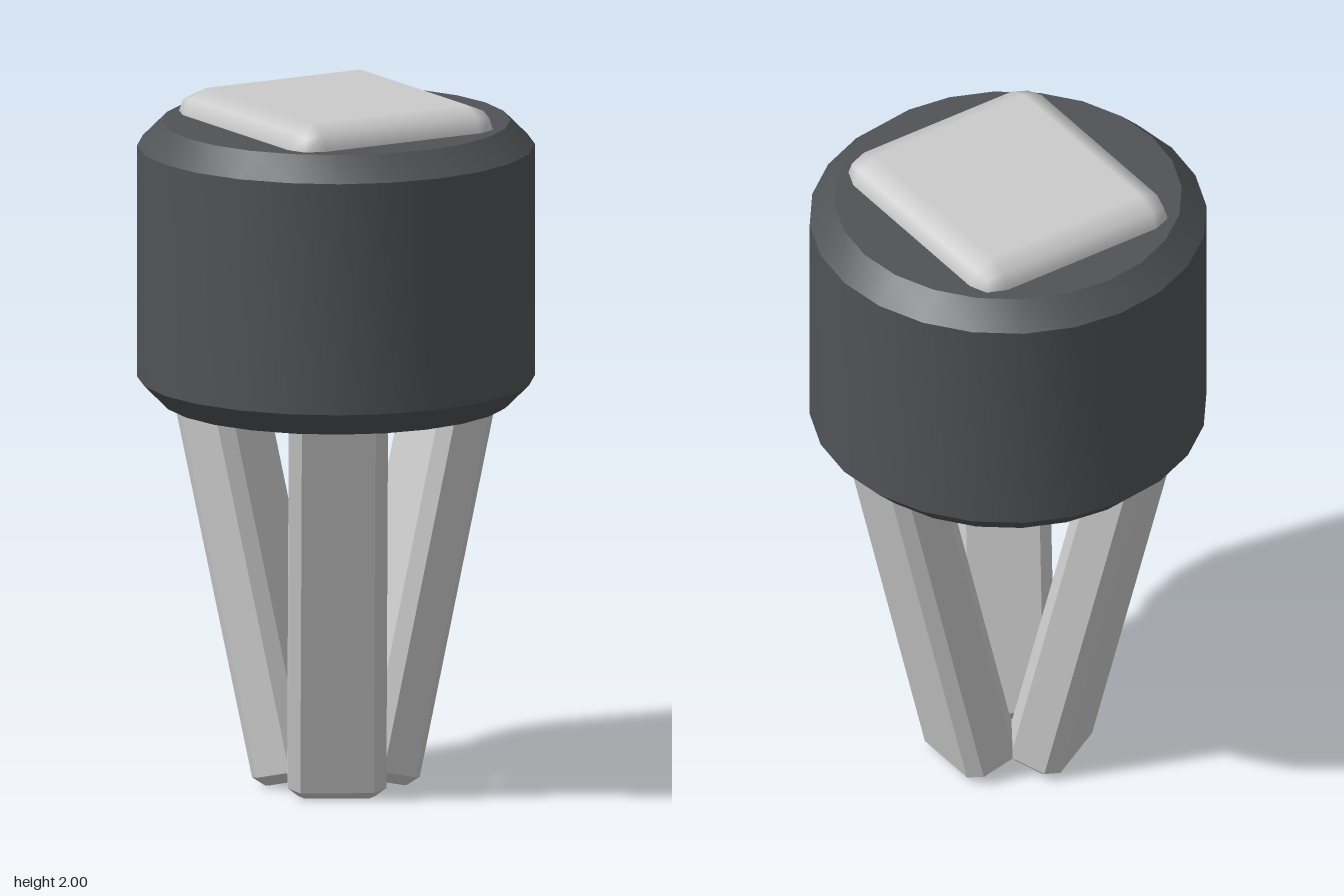
import * as THREE from 'three';
import { toCreasedNormals } from 'three/addons/utils/BufferGeometryUtils.js';
import { RoundedBoxGeometry } from 'three/addons/geometries/RoundedBoxGeometry.js';

const V = (x, y) => new THREE.Vector2(x, y);

// Octagonal bar outline: a rectangle with cut corners
function cutRectangle(w, d, c) {
  const x = w / 2, y = d / 2;
  return new THREE.Shape([
    V(-x + c, -y), V(x - c, -y), V(x, -y + c), V(x, y - c),
    V(x - c, y), V(-x + c, y), V(-x, y - c), V(-x, -y + c),
  ]);
}

export function createModel() {
  const group = new THREE.Group();
  const grey = new THREE.MeshStandardMaterial({ color: 0xcccccc });
  const dark = new THREE.MeshStandardMaterial({ color: 0x505356 });

  // Chamfered drum with 24 sides
  const profile = [
    V(0, 1.12), V(0.495, 1.12), V(0.565, 1.19),
    V(0.565, 1.86), V(0.495, 1.93), V(0, 1.93),
  ];
  const drum = new THREE.Mesh(toCreasedNormals(new THREE.LatheGeometry(profile, 24), 0.5), dark);
  drum.name = 'drum';
  group.add(drum);

  // Rounded pad, half sunk into the drum top
  const pad = new THREE.Mesh(new RoundedBoxGeometry(0.68, 0.24, 0.75, 1, 0.085), grey);
  pad.name = 'topPad';
  pad.position.y = 1.88;
  group.add(pad);

  // Leg: a bar with bevelled edges and ends, its foot at the local origin
  const bevel = 0.03, length = 1.26, lean = 0.233;
  const bar = new THREE.ExtrudeGeometry(cutRectangle(0.28, 0.18, 0.035), {
    depth: length - 2 * bevel, bevelEnabled: true, bevelSegments: 1,
    bevelSize: bevel, bevelThickness: bevel, bevelOffset: -bevel,
  });
  bar.translate(0, 0, bevel);
  bar.rotateX(-Math.PI / 2); // length along y, thickness along z
  bar.rotateX(lean);         // top leans outwards (+z)

  // Three legs, splayed evenly
  for (let i = 0; i < 3; i++) {
    const leg = new THREE.Mesh(bar, grey);
    leg.name = 'leg' + (i + 1);
    const a = Math.PI / 2 + i * Math.PI * 2 / 3;
    leg.rotation.y = a;
    leg.position.set(Math.sin(a) * 0.12, 0.015, Math.cos(a) * 0.12);
    group.add(leg);
  }
  return group;
}
